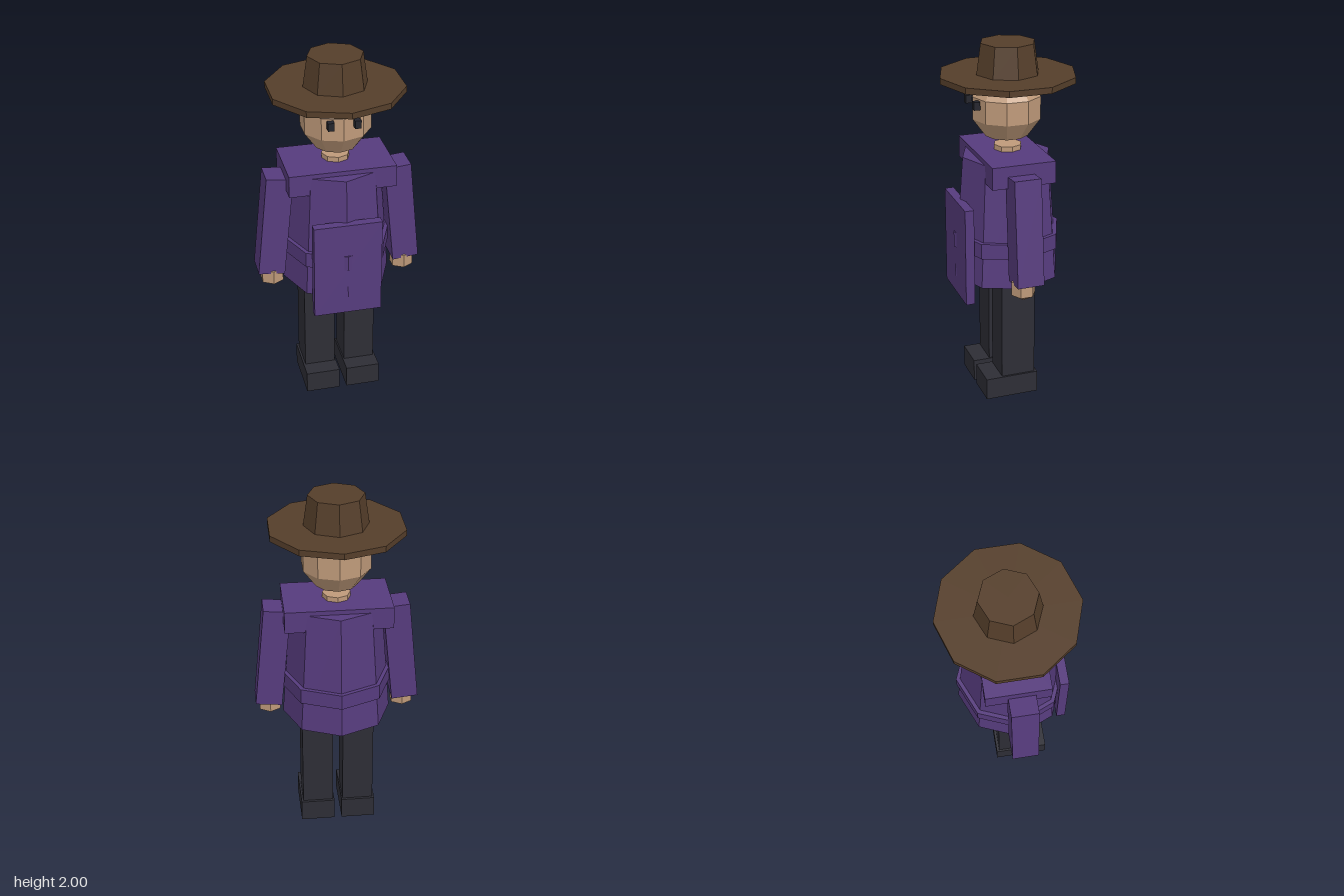
import * as THREE from 'three';

const material = (name, color) => {
  const m = new THREE.MeshStandardMaterial({ color, flatShading: true });
  m.name = name;
  return m;
};

export function createModel() {
  const model = new THREE.Group();
  model.name = 'hattedFigure';

  const purple = material('purple cloth', 0x563b7d);
  const brown = material('brown felt', 0x553e2a);
  const skin = material('skin', 0xbf9a7a);
  const dark = material('dark cloth', 0x2d2d35);
  const black = material('eye black', 0x23242c);

  const add = (name, geometry, mat, x, y, z) => {
    const mesh = new THREE.Mesh(geometry, mat);
    mesh.name = name;
    mesh.position.set(x, y, z);
    model.add(mesh);
    return mesh;
  };
  const box = (w, h, d) => new THREE.BoxGeometry(w, h, d);
  // Faceted ball with a vertex facing the front
  const ball = (r, sides, rings) => new THREE.SphereGeometry(r, sides, rings).rotateY(Math.PI / 2);
  // Tapered prism between two heights
  const prism = (name, mat, rTop, rBottom, y0, y1, sides, z) =>
    add(name, new THREE.CylinderGeometry(rTop, rBottom, y1 - y0, sides), mat, 0, (y0 + y1) / 2, z);

  // Hat
  prism('hatBrim', brown, 0.372, 0.372, 1.8, 1.833, 10, 0);
  prism('hatCrown', brown, 0.15, 0.174, 1.833, 2, 8, 0);

  // Head and neck
  add('head', ball(0.2, 10, 5), skin, 0, 1.655, 0.007);
  prism('neck', skin, 0.077, 0.077, 1.36, 1.44, 8, 0);

  // Coat
  add('shoulders', box(0.584, 0.122, 0.354), purple, 0, 1.351, 0.009);
  prism('coat', purple, 0.247, 0.301, 0.7, 1.387, 8, 0.009);
  prism('belt', purple, 0.304, 0.304, 0.874, 0.96, 8, 0.009);
  add('frontPanel', box(0.374, 0.55, 0.05), purple, 0, 0.874, 0.279);

  for (const [side, s] of [['left', 1], ['right', -1]]) {
    // Eyes
    add(side + 'Eye', box(0.034, 0.044, 0.034), black, s * 0.071, 1.689, 0.199);

    // Arms, leaning outwards
    const arm = add(side + 'Arm', box(0.147, 0.584, 0.148), purple, s * 0.353, 1.067, 0.027);
    arm.rotation.z = s * 0.1;
    add(side + 'Hand', ball(0.077, 6, 3), skin, s * 0.373, 0.752, 0.043);

    // Legs and shoes
    add(side + 'Leg', box(0.174, 0.64, 0.192), dark, s * 0.115, 0.42, 0.007);
    add(side + 'Shoe', box(0.192, 0.125, 0.302), dark, s * 0.117, 0.0625, 0.047);
  }
  return model;
}
